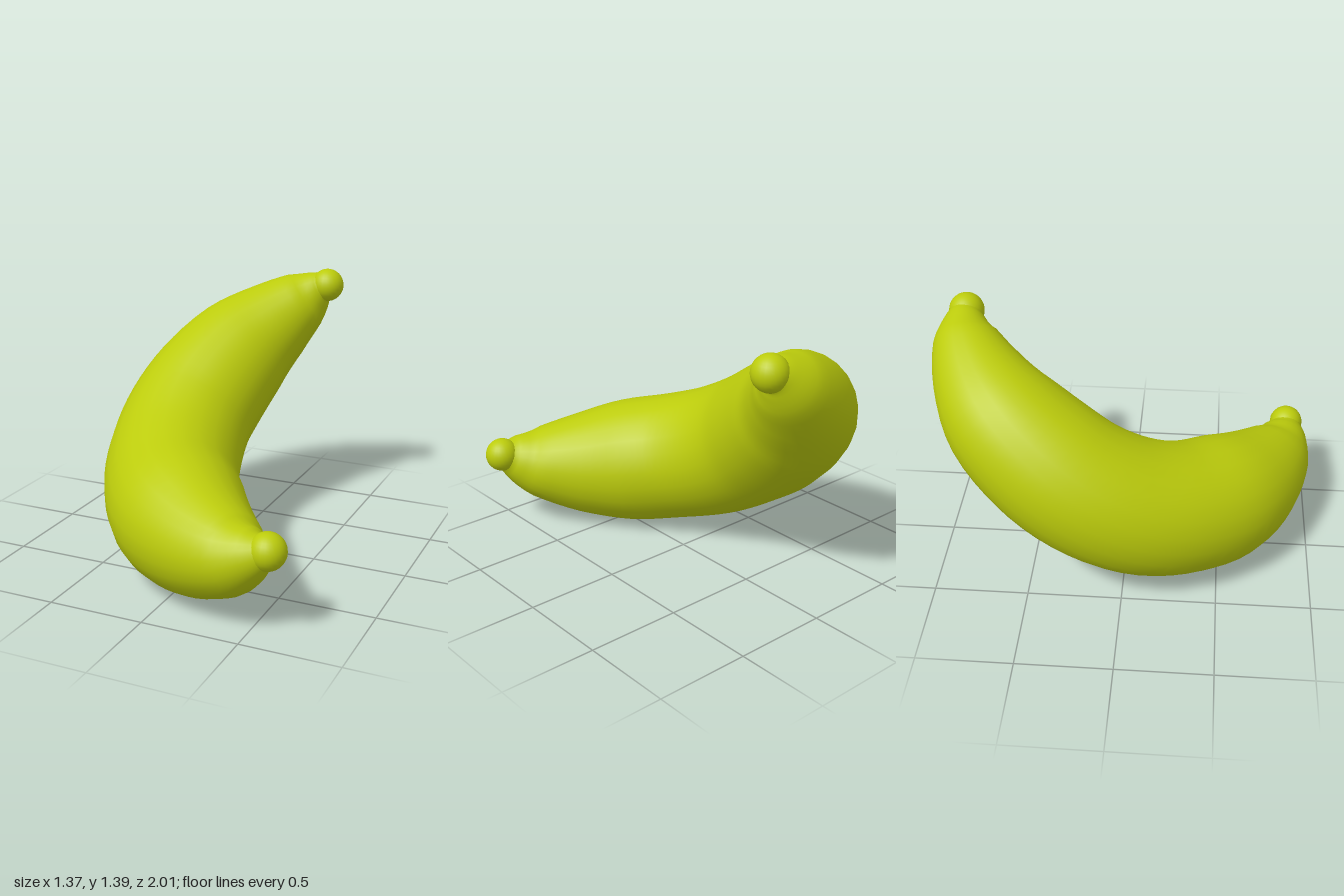
import * as THREE from 'three';

// Centre line stations: x, y, z, radius
const STATIONS = [
  [0.235, 1.32, -0.86, 0.075],
  [0.185, 1.295, -0.86, 0.105],
  [0.1, 1.23, -0.845, 0.17],
  [-0.04, 1.11, -0.77, 0.24],
  [-0.19, 0.96, -0.63, 0.31],
  [-0.29, 0.79, -0.42, 0.345],
  [-0.33, 0.635, -0.2, 0.355],
  [-0.295, 0.5, 0.04, 0.36],
  [-0.19, 0.41, 0.29, 0.355],
  [-0.015, 0.36, 0.515, 0.345],
  [0.19, 0.345, 0.69, 0.285],
  [0.4, 0.37, 0.82, 0.2],
  [0.52, 0.415, 0.865, 0.125],
  [0.59, 0.445, 0.875, 0.075],
];
const SIDES = 24, RINGS = 52;

// Sweeps a circle of changing radius along the bent centre line
function sweptBody() {
  const path = new THREE.CatmullRomCurve3(STATIONS.map(([x, y, z]) => new THREE.Vector3(x, y, z)));
  const radii = new THREE.SplineCurve(STATIONS.map((s, i) => new THREE.Vector2(i, s[3])));
  const bendAxis = new THREE.Vector3(0.655, -1.218, -0.756).normalize();
  const positions = [], index = [];
  for (let i = 0; i <= RINGS; i++) {
    const t = i / RINGS;
    const c = path.getPoint(t), r = radii.getPoint(t).y, dir = path.getTangent(t);
    const n = bendAxis.clone().addScaledVector(dir, -bendAxis.dot(dir)).normalize();
    const b = new THREE.Vector3().crossVectors(dir, n);
    for (let j = 0; j < SIDES; j++) {
      const a = (j / SIDES) * Math.PI * 2;
      const p = c.clone().addScaledVector(n, Math.cos(a) * r).addScaledVector(b, Math.sin(a) * r);
      positions.push(p.x, p.y, p.z);
      if (i < RINGS) {
        const k = (j + 1) % SIDES, q = i * SIDES;
        index.push(q + j, q + k, q + SIDES + j, q + k, q + SIDES + k, q + SIDES + j);
      }
    }
  }
  const geometry = new THREE.BufferGeometry();
  geometry.setAttribute('position', new THREE.Float32BufferAttribute(positions, 3));
  geometry.setIndex(index);
  geometry.computeVertexNormals();
  return geometry;
}

export function createModel() {
  const model = new THREE.Group();
  model.name = 'banana';
  const skin = new THREE.MeshStandardMaterial({ color: 0xbccc0c });

  // Curved fruit
  const body = new THREE.Mesh(sweptBody(), skin);
  body.name = 'fruitBody';
  model.add(body);

  // Round knobs closing both ends
  const knob = new THREE.SphereGeometry(0.092, 24, 16);
  for (const [name, s] of [['upperTip', STATIONS[0]], ['lowerTip', STATIONS.at(-1)]]) {
    const tip = new THREE.Mesh(knob, skin);
    tip.name = name;
    tip.position.set(s[0], s[1], s[2]);
    model.add(tip);
  }
  return model;
}
